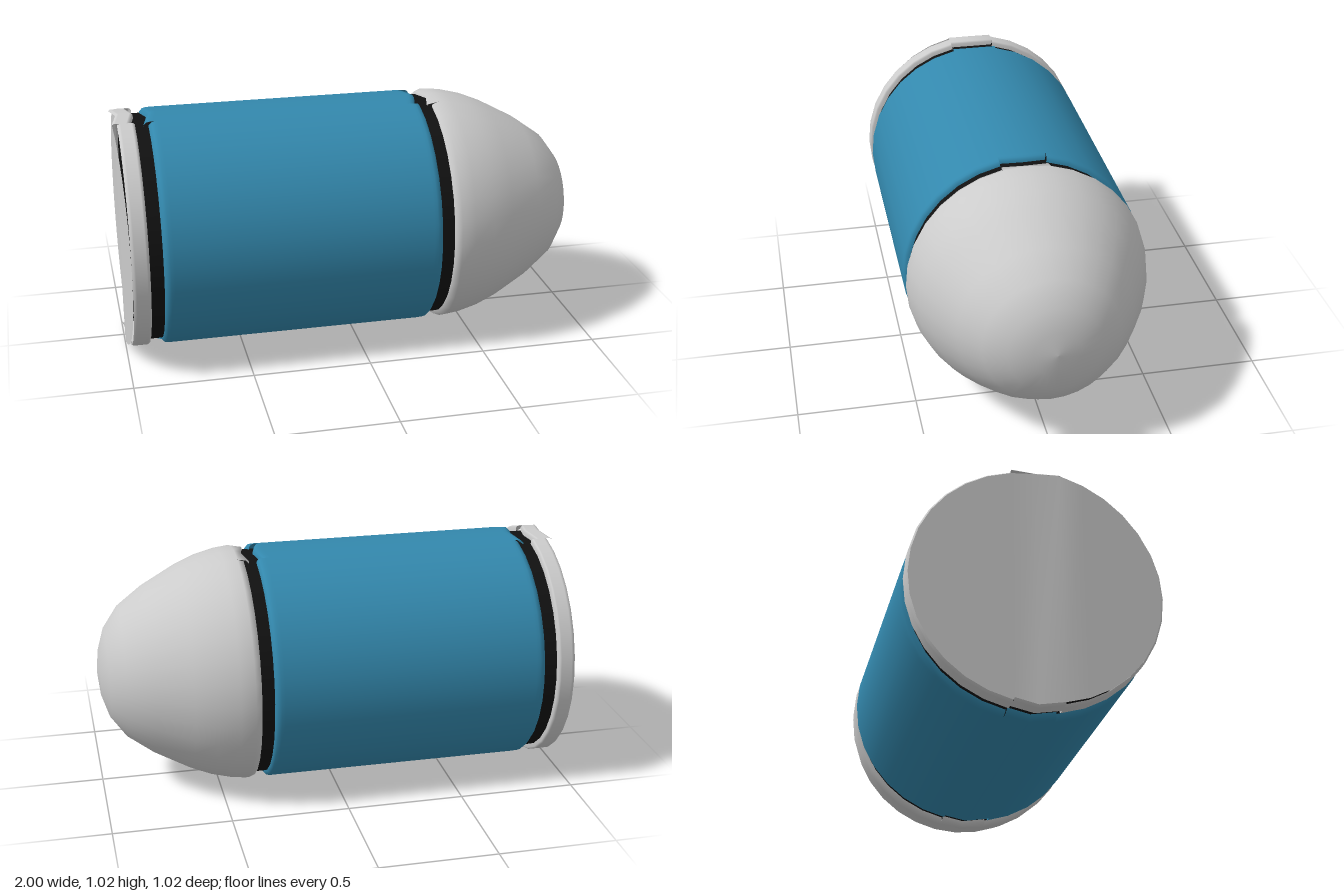
import * as THREE from 'three';

const R = 0.51, STEP = Math.PI / 16, SHIFT = 0.022;
const mat = (color) => new THREE.MeshStandardMaterial({ color, side: THREE.DoubleSide });

// Lathe about the x axis; points are [x, radius]
function turned(points, start, segments) {
  const g = new THREE.LatheGeometry(points.map(([x, r]) => new THREE.Vector2(r, x)), segments, start, segments * STEP);
  return g.rotateZ(-Math.PI / 2);
}

// A 32-sided shell: two long side arcs, plus a notched two-facet strip at top and bottom
function shell(name, points, material, shiftLimit) {
  const group = new THREE.Group();
  group.name = name;
  for (const mid of [Math.PI / 2, Math.PI * 1.5]) {
    const side = new THREE.Mesh(turned(points, mid + STEP, 14), material);
    side.name = name + 'Side';
    const g = turned(points, mid - STEP, 2), p = g.attributes.position;
    for (let i = 0; i < p.count; i++) {
      const r = Math.hypot(p.getY(i), p.getZ(i));
      const atEdge = r > 0 && Math.abs(p.getZ(i)) > r * 0.1;
      if (atEdge && p.getX(i) < shiftLimit) p.setX(i, p.getX(i) - SHIFT);
    }
    const strip = new THREE.Mesh(g, material);
    strip.name = name + 'Strip';
    group.add(side, strip);
  }
  return group;
}

// Flat end disc in columns, folded slightly along one line
function endDisc(material) {
  const pos = [], index = [];
  for (let k = -8; k <= 8; k++) {
    const z = 0.503 * Math.sin(k * STEP), y = 0.503 * Math.cos(k * STEP);
    const x = -0.98 - (k > 0 ? 0.02 * (0.503 - z) / 0.405 : 0);
    pos.push(x, y, z, x, -y, z);
    if (k < 8) {
      const a = (k + 8) * 2;
      index.push(a, a + 1, a + 2, a + 1, a + 3, a + 2);
    }
  }
  const g = new THREE.BufferGeometry();
  g.setAttribute('position', new THREE.Float32BufferAttribute(pos, 3));
  g.setIndex(index);
  g.computeVertexNormals();
  const disc = new THREE.Mesh(g, material);
  disc.name = 'endDisc';
  return disc;
}

export function createModel() {
  const model = new THREE.Group();
  model.name = 'capsule';
  const grey = mat(0xcccccc), blue = mat(0x3388ad), black = mat(0x111111);

  // Dark core, showing as two recessed bands
  const core = new THREE.Mesh(new THREE.CylinderGeometry(0.487, 0.487, 1.34, 32).rotateZ(-Math.PI / 2), black);
  core.name = 'darkCore';
  core.position.x = -0.28;

  // Base flange
  const base = shell('base', [
    [-0.98, 0.503], [-0.972, R], [-0.965, R], [-0.92, R], [-0.914, R], [-0.907, 0.503], [-0.906, 0.48],
  ], grey, 9);

  // Coloured body with softened ends
  const body = shell('body', [
    [-0.852, 0.48], [-0.85, 0.495], [-0.838, 0.507], [-0.825, R], [-0.81, R],
    [0.27, R], [0.285, R], [0.3, 0.507], [0.309, 0.495], [0.31, 0.48],
  ], blue, 9);

  // Rounded nose
  const nose = shell('nose', [
    [0.362, 0.47], [0.364, 0.5], [0.39, R], [0.45, 0.503], [0.54, 0.48], [0.63, 0.443],
    [0.78, 0.362], [0.89, 0.282], [0.955, 0.192], [0.985, 0.098], [0.995, 0],
  ], grey, 0.38);

  model.add(core, base, body, nose, endDisc(grey));
  model.position.y = R;
  return model;
}
